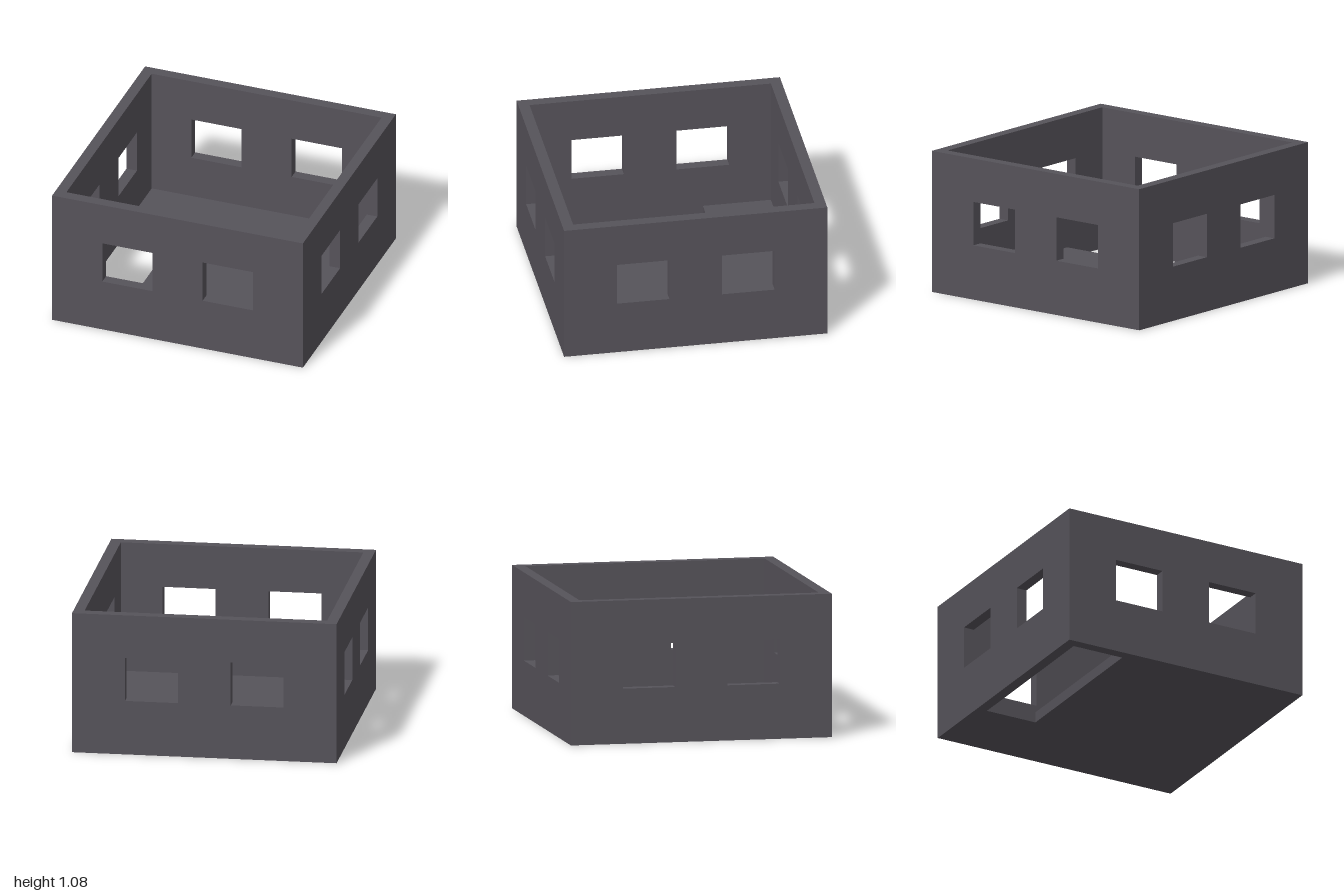
import * as THREE from 'three';

const T = 1 / 12;        // wall and floor thickness
const WALL_H = 1;        // wall height above the floor slab
const INNER = 1 - T;

function rect(target, x0, y0, x1, y1) {
  target.moveTo(x0, y0);
  target.lineTo(x1, y0);
  target.lineTo(x1, y1);
  target.lineTo(x0, y1);
  target.closePath();
  return target;
}

// Flat panel in the xy plane with rectangular openings, extruded along +z
function panel(x0, y0, x1, y1, openings) {
  const shape = rect(new THREE.Shape(), x0, y0, x1, y1);
  for (const o of openings) shape.holes.push(rect(new THREE.Path(), ...o));
  return new THREE.ExtrudeGeometry(shape, { depth: T, bevelEnabled: false });
}

export function createModel() {
  const group = new THREE.Group();
  group.name = 'openRoofRoom';

  const stone = new THREE.MeshStandardMaterial({ color: 0x56535a });
  stone.name = 'dark grey stone';

  const add = (name, geometry) => {
    const mesh = new THREE.Mesh(geometry, stone);
    mesh.name = name;
    group.add(mesh);
    return mesh;
  };

  // Floor slab with a stairwell opening along the right wall, notched from the front
  const floor = panel(-1, -1, 1, 1, [[-INNER, -INNER, -0.5, 0.4]]);
  floor.rotateX(-Math.PI / 2);
  add('floor', floor);

  // Four walls, each with a pair of windows
  const midY = T + WALL_H / 2;
  const windows = [-0.4, 0.4].map((x) => [x - 0.2, midY - 1 / 6, x + 0.2, midY + 1 / 6]);
  ['frontWall', 'leftWall', 'backWall', 'rightWall'].forEach((name, i) => {
    const half = i % 2 ? INNER : 1; // side walls fit between front and back
    const wall = panel(-half, T, half, T + WALL_H, windows);
    wall.translate(0, 0, INNER);
    wall.rotateY((i * Math.PI) / 2);
    add(name, wall);
  });

  return group;
}
